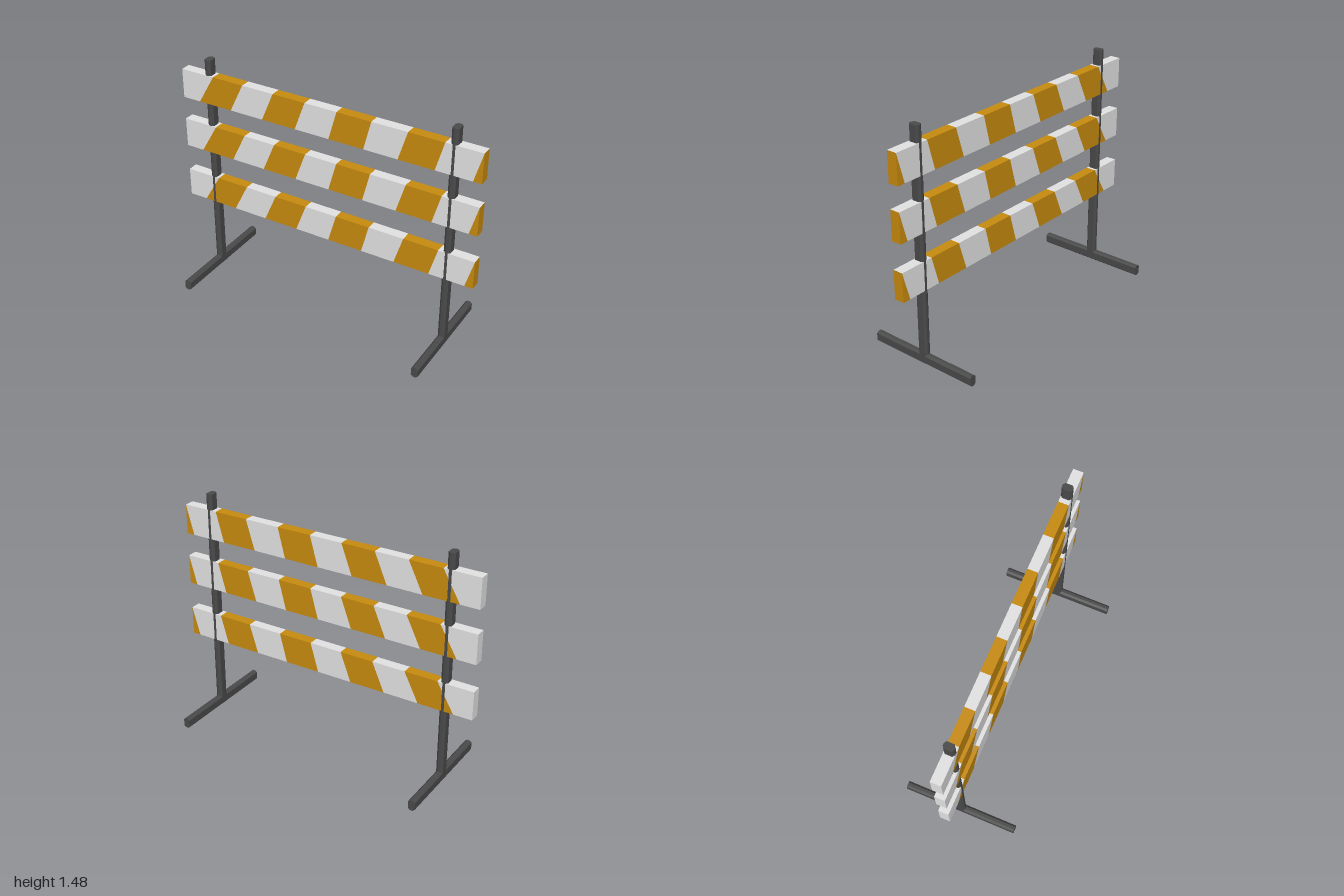
import * as THREE from 'three';

const steel = new THREE.MeshStandardMaterial({ name: 'dark steel', color: 0x4a4a4a });
const white = new THREE.MeshStandardMaterial({ name: 'white paint', color: 0xe3e3e3 });
const orange = new THREE.MeshStandardMaterial({ name: 'orange paint', color: 0xc88b0e });

const HALF = 0.0325; // half thickness of boards and posts

function extrude(points, depth) {
  const shape = new THREE.Shape(points.map(([x, y]) => new THREE.Vector2(x, y)));
  return new THREE.ExtrudeGeometry(shape, { depth, bevelEnabled: false });
}

// Bar along z with chamfered edges: half sizes a, b and chamfers ca, cb
function chamferedBar(a, b, ca, cb, length) {
  return extrude([
    [a, -b + cb], [a, b - cb], [a - ca, b], [-a + ca, b],
    [-a, b - cb], [-a, -b + cb], [-a + ca, -b], [a - ca, -b],
  ], length);
}

// Slanted paint edges along a board: [x at bottom, x at top]
const EDGES = [
  [-1, -1], [-0.88, -0.77], [-0.65, -0.557], [-0.423, -0.342], [-0.193, -0.123],
  [0.037, 0.09], [0.267, 0.315], [0.487, 0.545], [0.717, 0.77], [0.947, 1], [1, 1],
];

// Board made of alternating white and orange slanted blocks
function makeBoard(y0, y1) {
  const board = new THREE.Group();
  for (let i = 0; i < EDGES.length - 1; i++) {
    const [b0, t0] = EDGES[i];
    const [b1, t1] = EDGES[i + 1];
    const points = [[b0, y0], [b1, y0], [t1, y1]];
    if (t1 - t0 > 0.001) points.push([t0, y1]);
    const block = new THREE.Mesh(extrude(points, 2 * HALF), i % 2 ? orange : white);
    block.position.z = -HALF;
    block.name = i % 2 ? 'orangeStripe' : 'whiteStripe';
    board.add(block);
  }
  return board;
}

// Upright post on a long cross foot
function makeStand(x, lean) {
  const stand = new THREE.Group();
  const post = new THREE.Mesh(chamferedBar(0.022, HALF + 0.0004, 0.014, 0.011, 1.47), steel);
  post.name = 'post';
  post.rotation.x = -Math.PI / 2 + lean;
  post.position.y = 0.01;
  const foot = new THREE.Mesh(chamferedBar(0.022, 0.034, 0.013, 0.011, 0.74), steel);
  foot.name = 'foot';
  foot.position.set(0, 0.034, -0.37);
  stand.add(post, foot);
  stand.position.x = x;
  return stand;
}

export function createModel() {
  const model = new THREE.Group();
  model.name = 'roadBarrier';

  [['lowerBoard', 0.49, 0.675], ['middleBoard', 0.85, 1.04], ['upperBoard', 1.19, 1.38]]
    .forEach(([name, y0, y1]) => {
      const board = makeBoard(y0, y1);
      board.name = name;
      model.add(board);
    });

  const leftStand = makeStand(0.822, 0);
  leftStand.name = 'leftStand';
  const rightStand = makeStand(-0.811, -0.0005);
  rightStand.name = 'rightStand';
  model.add(leftStand, rightStand);
  return model;
}
